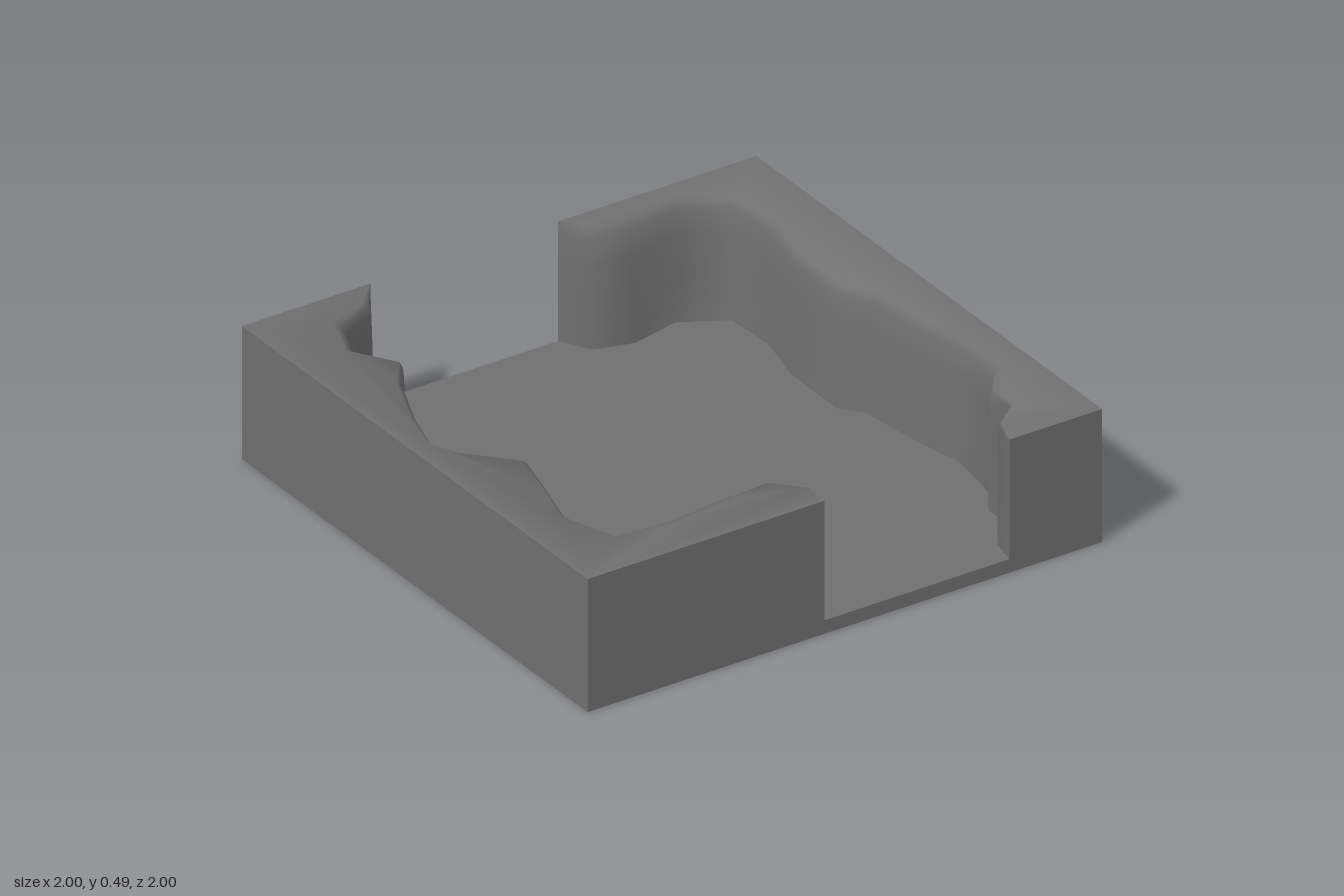
import * as THREE from 'three';
import { toCreasedNormals } from 'three/addons/utils/BufferGeometryUtils.js';

const FLOOR = 0.05, TOP = 0.493;
const material = new THREE.MeshStandardMaterial({ color: 0x707070 });

// Each point: x and z at the foot, then x and z at the rim (same as the foot if left out)
const rightWallLine = [
  [-0.5, -1], [-0.57, -0.87, -0.59, -0.91], [-0.7, -0.81, -0.74, -0.86], [-0.75, -0.67, -0.81, -0.68],
  [-0.69, -0.51, -0.71, -0.52], [-0.75, -0.41, -0.79, -0.42], [-0.84, -0.2, -0.88, -0.2],
  [-0.9, -0.02, -0.93, -0.02], [-0.86, 0.05, -0.89, 0.07], [-0.7, 0.24, -0.74, 0.24],
  [-0.75, 0.43, -0.79, 0.43], [-0.8, 0.61, -0.84, 0.61], [-0.75, 0.8, -0.77, 0.82],
  [-0.55, 0.75, -0.55, 0.85], [-0.28, 0.69, -0.28, 0.84], [-0.16, 0.73, -0.155, 0.81],
  [-0.06, 0.9, -0.075, 0.9], [-0.08, 1],
];
const leftWallLine = [
  [0.64, 1], [0.66, 0.9, 0.68, 0.89], [0.77, 0.82, 0.78, 0.81], [0.76, 0.7, 0.78, 0.7],
  [0.83, 0.59, 0.88, 0.58], [0.86, 0.38, 0.91, 0.4], [0.82, 0.18, 0.87, 0.2],
  [0.79, -0.05, 0.83, -0.04], [0.73, -0.13, 0.76, -0.13], [0.73, -0.39, 0.76, -0.39],
  [0.78, -0.6, 0.82, -0.6], [0.77, -0.8, 0.8, -0.83], [0.61, -0.89, 0.62, -0.94],
  [0.43, -0.85, 0.43, -0.94], [0.29, -0.89, 0.28, -0.94], [0.23, -1],
];

// Heights of the wall rings and how far each leans from foot to rim
const rings = [[FLOOR, 0], [0.2, 0.15], [0.36, 0.22], [0.455, 0.4], [0.48, 0.65], [TOP, 1]];

function buildGeometry(positions, indices) {
  const geometry = new THREE.BufferGeometry();
  geometry.setAttribute('position', new THREE.Float32BufferAttribute(positions, 3));
  geometry.setIndex(indices);
  return geometry;
}

// Rough inner face that rolls over into the flat top reaching the tile's edge
function rockFace(line, corners) {
  const n = line.length, positions = [], indices = [];
  for (const [y, t] of rings) {
    for (const [x, z, rx = x, rz = z] of line) {
      positions.push(x + (rx - x) * t, y, z + (rz - z) * t);
    }
  }
  for (let r = 0; r < rings.length - 1; r++) {
    for (let i = 0; i < n - 1; i++) {
      const a = r * n + i, b = a + 1, c = b + n, d = a + n;
      indices.push(a, d, b, b, d, c);
    }
  }
  const rim = (rings.length - 1) * n;
  for (const [x, z] of corners) positions.push(x, TOP, z);
  const outline = line.map(([x, z, rx = x, rz = z]) => new THREE.Vector2(rx, rz));
  corners.forEach(([x, z]) => outline.push(new THREE.Vector2(x, z)));
  for (const tri of THREE.ShapeUtils.triangulateShape(outline, [])) {
    const [p, q, s] = tri.map((i) => outline[i]);
    const area = (q.x - p.x) * (s.y - p.y) - (q.y - p.y) * (s.x - p.x);
    const [a, b, c] = tri.map((i) => rim + i);
    // Keep every top triangle facing up
    if (area < 0) indices.push(a, b, c);
    else indices.push(a, c, b);
  }
  return toCreasedNormals(buildGeometry(positions, indices), 1.5);
}

// Flat outer sides, following the tile's edge from one end of the line to the other
function outerSides(line, corners) {
  const path = [line[line.length - 1], ...corners, line[0]];
  const positions = [], indices = [];
  for (let i = 0; i < path.length - 1; i++) {
    const [x0, z0] = path[i], [x1, z1] = path[i + 1], k = positions.length / 3;
    positions.push(x0, FLOOR, z0, x1, FLOOR, z1, x1, TOP, z1, x0, TOP, z0);
    indices.push(k, k + 2, k + 1, k, k + 3, k + 2);
  }
  const geometry = buildGeometry(positions, indices);
  geometry.computeVertexNormals();
  return geometry;
}

function addMesh(parent, name, geometry) {
  const mesh = new THREE.Mesh(geometry, material);
  mesh.name = name;
  parent.add(mesh);
  return mesh;
}

function wall(name, line, corners) {
  const group = new THREE.Group();
  group.name = name;
  addMesh(group, name + 'RockFace', rockFace(line, corners));
  addMesh(group, name + 'OuterSides', outerSides(line, corners));
  return group;
}

export function createModel() {
  const model = new THREE.Group();
  model.name = 'caveTile';

  // Floor slab
  addMesh(model, 'floor', new THREE.BoxGeometry(2, FLOOR, 2)).position.y = FLOOR / 2;

  // Two walls that leave an opening at the front and the back
  model.add(wall('rightWall', rightWallLine, [[-1, 1], [-1, -1]]));
  model.add(wall('leftWall', leftWallLine, [[1, -1], [1, 1]]));
  return model;
}
